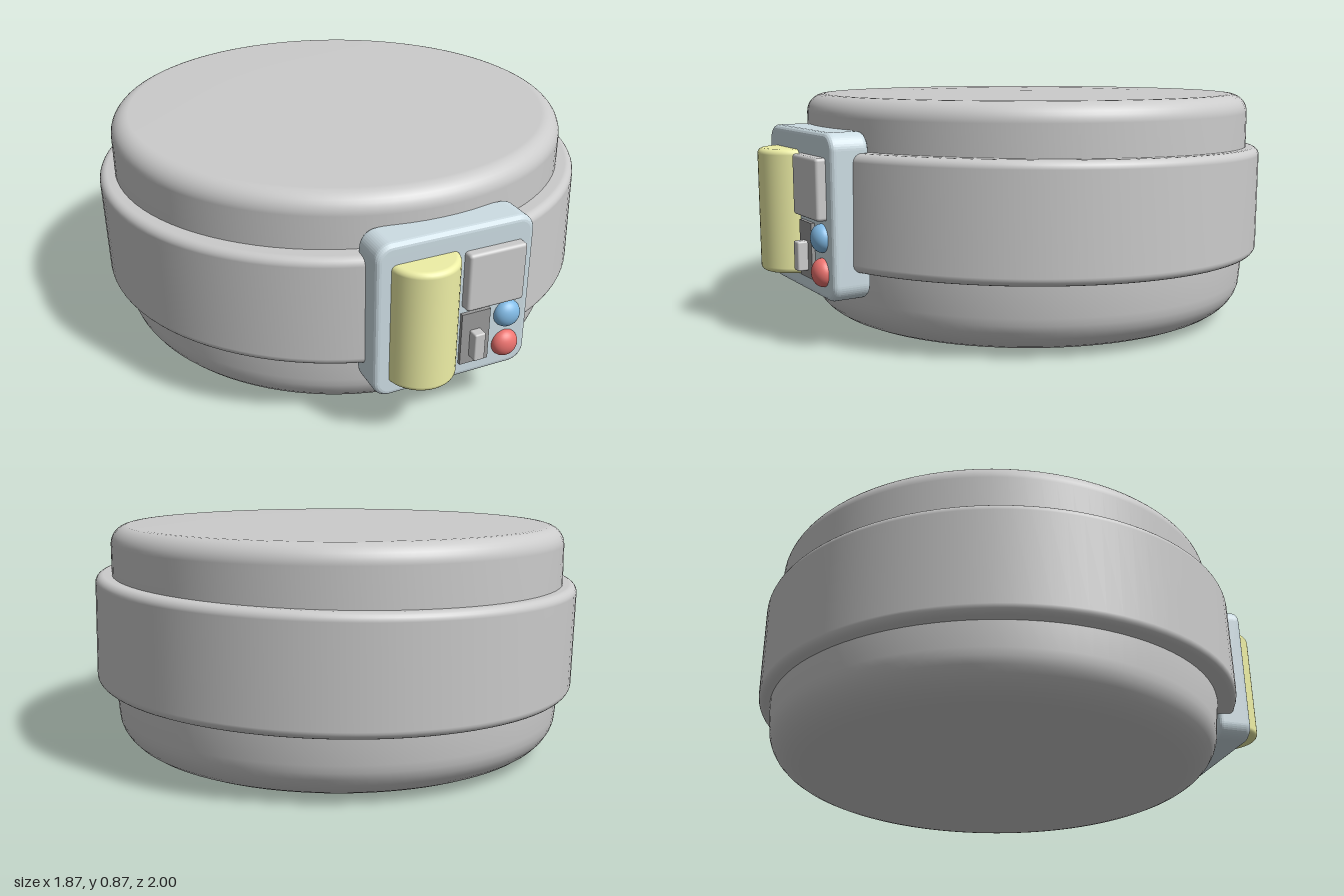
import * as THREE from 'three';
import { RoundedBoxGeometry } from 'three/addons/geometries/RoundedBoxGeometry.js';

const material = (color = 0xcccccc) => new THREE.MeshStandardMaterial({ color });

// Lathe profile with rounded corners; corners are [r, y, radiusX, radiusY, startAngle]
function roundedProfile(corners, steps = 8) {
  const pts = [];
  for (const [x, y, rx, ry, start] of corners) {
    for (let i = 0; i <= steps; i++) {
      const a = start + (i / steps) * Math.PI / 2;
      pts.push(new THREE.Vector2(x + Math.cos(a) * rx, y + Math.sin(a) * ry));
    }
  }
  return pts;
}

export function createModel() {
  const group = new THREE.Group();
  const add = (name, geometry, color, x, y, z) => {
    const mesh = new THREE.Mesh(geometry, material(color));
    mesh.name = name;
    mesh.position.set(x, y, z);
    group.add(mesh);
    return mesh;
  };
  const H = Math.PI / 2;

  // Drum body: wide soft curve below, tighter edge above
  const body = [
    new THREE.Vector2(0, 0),
    new THREE.Vector2(0.4, 0.003),
    ...roundedProfile([
      [0.70, 0.15, 0.165, 0.14, -H],
      [0.805, 0.795, 0.07, 0.07, 0],
    ]),
    new THREE.Vector2(0.5, 0.868),
    new THREE.Vector2(0, 0.87),
  ];
  // Let the wall swell slightly between the two rounded edges
  body.splice(11, 0, new THREE.Vector2(0.876, 0.27));
  add('body', new THREE.LatheGeometry(body, 96), undefined, 0, 0, -0.08);

  // Strap around the drum, worn at a slight tilt
  const c = 0.03;
  const strap = roundedProfile([
    [0.935 - c, -0.205 + c, c, c, -H],
    [0.935 - c, 0.205 - c, c, c, 0],
  ], 6);
  strap.unshift(new THREE.Vector2(0.85, -0.205));
  strap.push(new THREE.Vector2(0.85, 0.205));
  const band = add('strap', new THREE.LatheGeometry(strap, 96), undefined, 0, 0.461, -0.065);
  band.rotation.set(-0.018, 0, 0.011);

  // Control panel, outline rounded and edges softened
  const w = 0.275, h = 0.27, r = 0.04;
  const outline = new THREE.Shape();
  outline.absarc(w - r, h - r, r, 0, H);
  outline.absarc(-w + r, h - r, r, H, 2 * H);
  outline.absarc(-w + r, -h + r, r, 2 * H, 3 * H);
  outline.absarc(w - r, -h + r, r, 3 * H, 4 * H);
  outline.closePath();
  const panelGeo = new THREE.ExtrudeGeometry(outline, {
    depth: 0.1, bevelSize: 0.02, bevelThickness: 0.02, bevelSegments: 4, curveSegments: 6,
  });
  add('controlPanel', panelGeo, 0xcddde4, 0.003, 0.465, 0.777);

  // Upright canister with rounded rims
  const e = 0.02;
  const canister = [
    new THREE.Vector2(0, -0.225),
    ...roundedProfile([
      [0.126 - e, -0.225 + e, e, e, -H],
      [0.126 - e, 0.225 - e, e, e, 0],
    ], 5),
    new THREE.Vector2(0, 0.225),
  ];
  add('canister', new THREE.LatheGeometry(canister, 48), 0xeeefa6, -0.114, 0.455, 0.874);

  // Display, switch plate and lever
  add('display', new RoundedBoxGeometry(0.22, 0.215, 0.06, 3, 0.012), undefined, 0.14, 0.563, 0.903);
  add('switchPlate', new THREE.BoxGeometry(0.11, 0.2, 0.03), 0x999999, 0.082, 0.334, 0.895);
  add('switchLever', new RoundedBoxGeometry(0.042, 0.105, 0.06, 2, 0.006), undefined, 0.081, 0.313, 0.917);

  // Domed push buttons
  for (const [name, color, y] of [['upperButton', 0x82bbe6, 0.392], ['lowerButton', 0xee7470, 0.272]]) {
    const button = add(name, new THREE.SphereGeometry(0.05, 32, 20), color, 0.208, y, 0.9);
    button.scale.z = 0.75;
  }
  return group;
}
